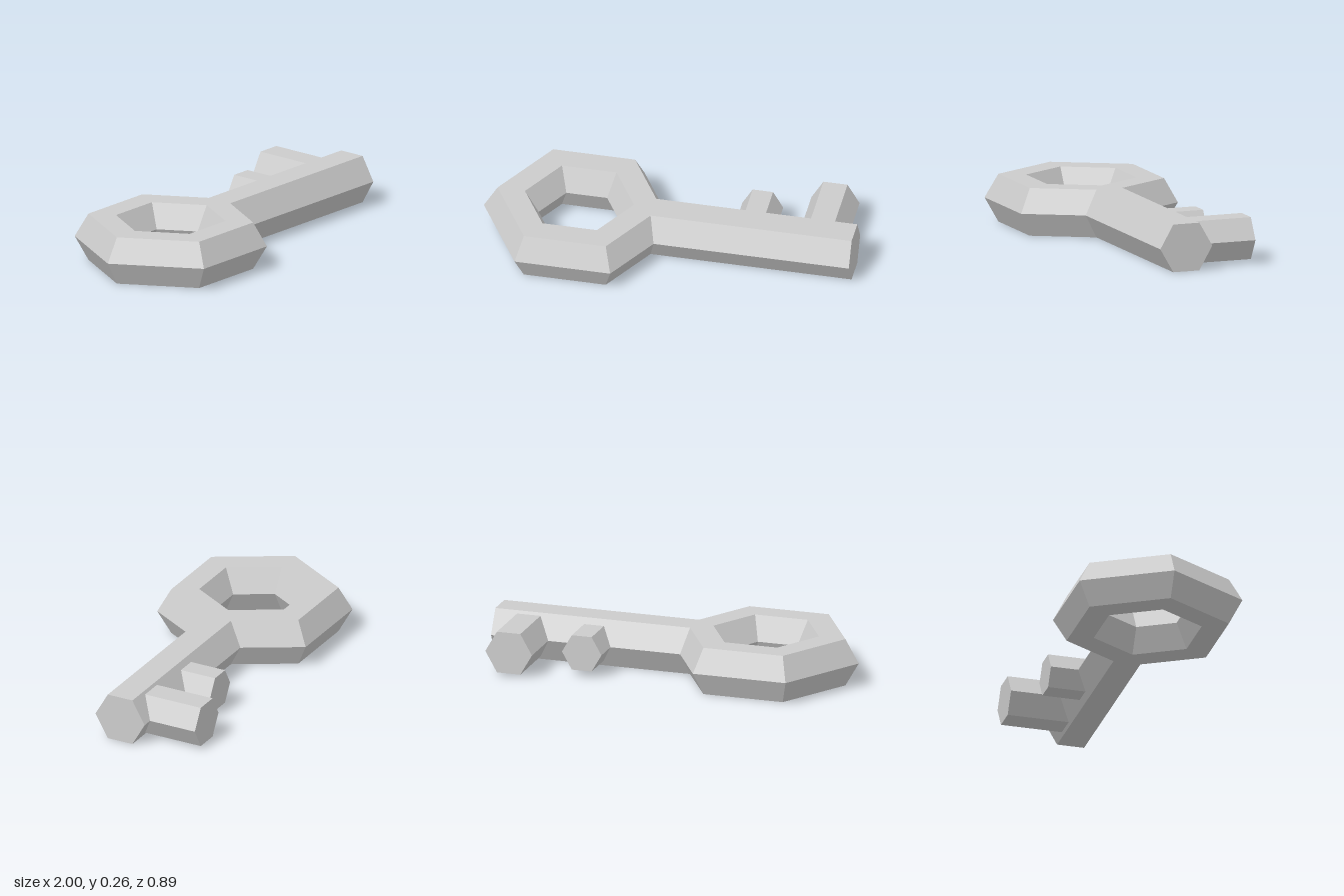
import * as THREE from 'three';

const MID_Y = 0.128;   // height of the key's centre plane
const BAR = 0.148;     // radius of the hexagonal bar

const material = new THREE.MeshStandardMaterial({ color: 0xcccccc, flatShading: true });

function addPart(group, name, geometry, x, z) {
  const mesh = new THREE.Mesh(geometry, material);
  mesh.name = name;
  mesh.position.set(x, MID_Y, z);
  group.add(mesh);
}

export function createModel() {
  const key = new THREE.Group();
  key.name = 'key';

  // Bow: six-sided ring with a six-sided section, lying flat
  const bow = new THREE.TorusGeometry(0.368, BAR, 6, 6).rotateX(Math.PI / 2);
  addPart(key, 'bow', bow, -0.484, 0);

  // Shaft: starts inside the bow's corner and runs to the tip
  const start = -0.115, end = 1;
  const shaft = new THREE.CylinderGeometry(BAR, BAR, end - start, 6).rotateZ(-Math.PI / 2);
  addPart(key, 'shaft', shaft, (start + end) / 2, 0);

  // Teeth: hexagonal pegs growing from the shaft's axis towards the back
  const teeth = [
    { name: 'shortTooth', x: 0.444, radius: 0.11, length: 0.298 },
    { name: 'longTooth', x: 0.811, radius: 0.13, length: 0.418 },
  ];
  for (const { name, x, radius, length } of teeth) {
    const tooth = new THREE.CylinderGeometry(radius, radius, length, 6, 1, false, Math.PI / 6)
      .rotateX(-Math.PI / 2);
    addPart(key, name, tooth, x, -length / 2);
  }

  return key;
}
